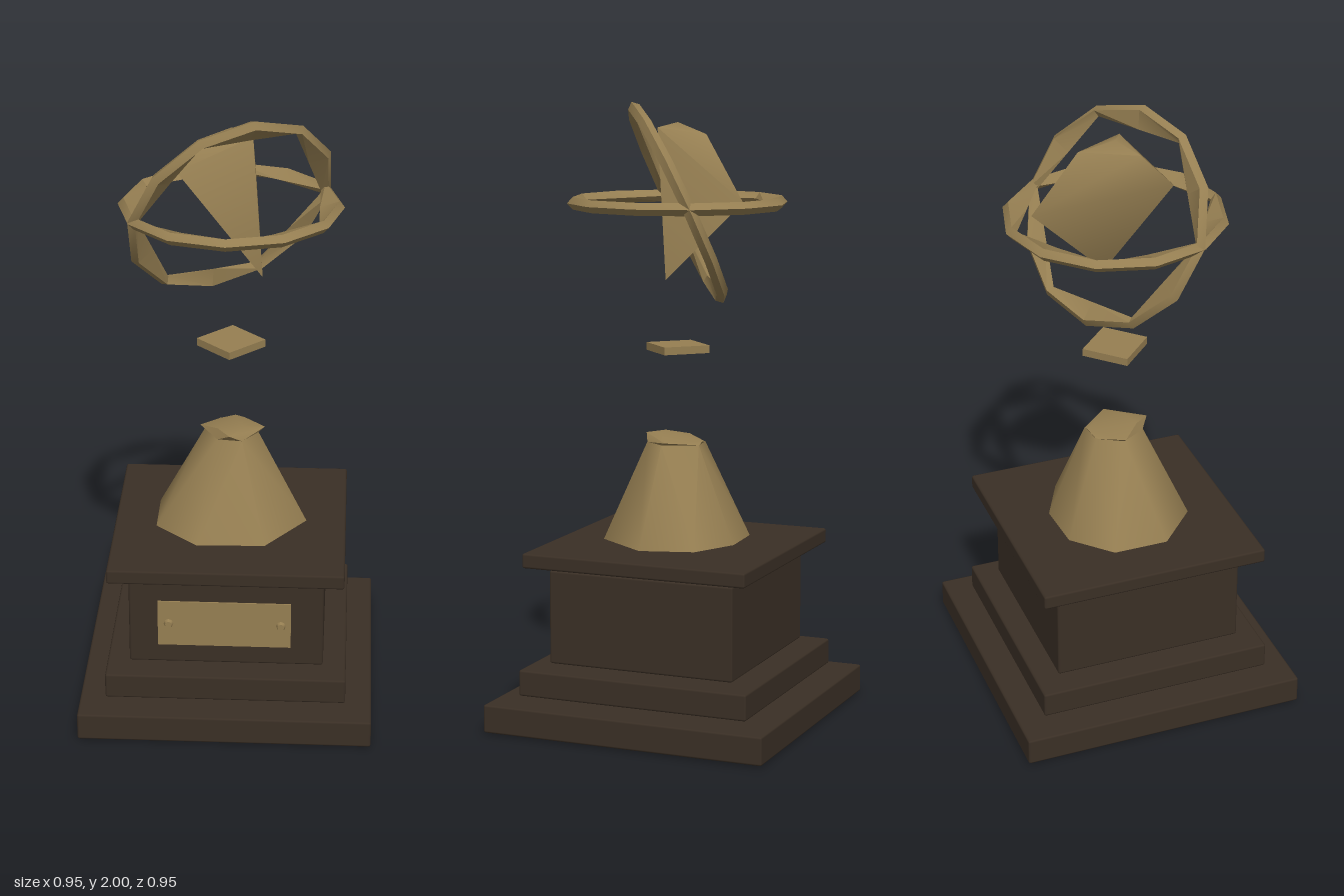
import * as THREE from 'three';
import { mergeVertices, toCreasedNormals } from 'three/addons/utils/BufferGeometryUtils.js';
import { RoundedBoxGeometry } from 'three/addons/geometries/RoundedBoxGeometry.js';
import { ConvexGeometry } from 'three/addons/geometries/ConvexGeometry.js';

const material = (name, color) => {
  const m = new THREE.MeshStandardMaterial({ color });
  m.name = name;
  return m;
};

// Faceted solid around a few corner points, smooth except at sharp creases
function facetedSolid(points, crease) {
  const g = new ConvexGeometry(points.map((p) => new THREE.Vector3(...p)));
  g.deleteAttribute('normal');
  return toCreasedNormals(mergeVertices(g, 1e-4), crease);
}

// Twelve-sided hoop whose inner edge is only a hexagon, so the band swells between its corners
function hoopGeometry(sides = 12) {
  const pos = [], index = [];
  for (let i = 0; i < sides; i++) {
    const a = (i / sides) * Math.PI * 2;
    const inner = i % 2 ? 0.32 : 0.32 * Math.cos(Math.PI / 6);
    for (const [r, y] of [[0.355, 0], [0.337, 0.02], [inner, 0], [0.337, -0.02]]) {
      pos.push(r * Math.cos(a), y, r * Math.sin(a));
    }
    for (let j = 0; j < 4; j++) {
      const n = (i + 1) % sides, k = (j + 1) % 4;
      index.push(i * 4 + j, i * 4 + k, n * 4 + k, i * 4 + j, n * 4 + k, n * 4 + j);
    }
  }
  const g = new THREE.BufferGeometry();
  g.setAttribute('position', new THREE.Float32BufferAttribute(pos, 3));
  g.setIndex(index);
  return toCreasedNormals(g, 0.6);
}

export function createModel() {
  const model = new THREE.Group();
  model.name = 'globeTrophy';
  const wood = material('darkWood', 0x3a2f25);
  const gold = material('agedGold', 0x967f52);
  const felt = material('blackFelt', 0x0d0d0b);

  const add = (name, geometry, mat, x = 0, y = 0, z = 0) => {
    const m = new THREE.Mesh(geometry, mat);
    m.name = name;
    m.position.set(x, y, z);
    model.add(m);
    return m;
  };

  // Stacked square wooden base: half width, bottom, top
  for (const [name, half, y0, y1] of [
    ['plinth', 0.475, 0.004, 0.096],
    ['step', 0.39, 0.113, 0.198],
    ['block', 0.315, 0.21, 0.515],
    ['topSlab', 0.38, 0.53, 0.578],
  ]) {
    add(name, new RoundedBoxGeometry(half * 2, y1 - y0, half * 2, 1, 0.007), wood, 0, (y0 + y1) / 2, 0);
  }
  add('feltPad', new THREE.BoxGeometry(0.89, 0.006, 0.89), felt, 0, 0.003, 0);

  // Plaque with two screws
  add('plaque', new THREE.BoxGeometry(0.43, 0.16, 0.005), gold, -0.005, 0.365, 0.332);
  for (const x of [-0.185, 0.178]) {
    const screw = add('plaqueScrew', new THREE.CylinderGeometry(0.011, 0.016, 0.01, 8), gold, x, 0.365, 0.339);
    screw.rotation.x = Math.PI / 2;
  }

  // Tapered pedestal and its thin collar
  const foot = [[-0.24, -0.09], [-0.24, 0.09], [-0.1, 0.22], [0.12, 0.21], [0.25, 0.03], [0.2, -0.14], [0.05, -0.215], [-0.12, -0.205]];
  const neck = [[-0.085, 0.0], [-0.04, 0.08], [0.04, 0.09], [0.09, 0.02], [0.04, -0.09], [-0.04, -0.08]];
  add('pedestal', facetedSolid([
    ...foot.map(([x, z]) => [x, 0.59, z]),
    ...neck.map(([x, z]) => [x, 0.906, z]),
    [-0.1, 0.83, 0.02],
  ], 0.9), gold);
  add('collar', facetedSolid([
    ...neck.map(([x, z]) => [x, 0.905, z]),
    [-0.1, 0.918, 0], [0.11, 0.916, 0], [0, 0.93, 0.11], [-0.04, 0.935, 0.06], [0.04, 0.933, 0.04], [0.01, 0.913, -0.09],
  ], 0.6), gold);

  // Floating four-sided disc
  add('disc', new THREE.CylinderGeometry(0.11, 0.11, 0.025, 4).toNonIndexed(), gold, 0, 1.213, 0)
    .geometry.computeVertexNormals();

  // Level and tilted hoops around the core
  const hoop = hoopGeometry();
  add('levelHoop', hoop, gold, 0, 1.68, 0);
  add('tiltedHoop', hoop, gold, 0, 1.677, 0).quaternion.setFromUnitVectors(
    new THREE.Vector3(0, 1, 0), new THREE.Vector3(-0.44, 0.42, -0.8).normalize());

  // Sharp faceted core
  add('core', facetedSolid([
    [-0.16, 1.835, 0.13], [-0.09, 1.915, 0.05], [0, 1.935, 0], [0.07, 1.92, 0.04],
    [0.03, 1.9, -0.11], [0.068, 1.69, -0.25], [0.1, 1.44, 0],
  ], 1.0), gold);

  return model;
}
